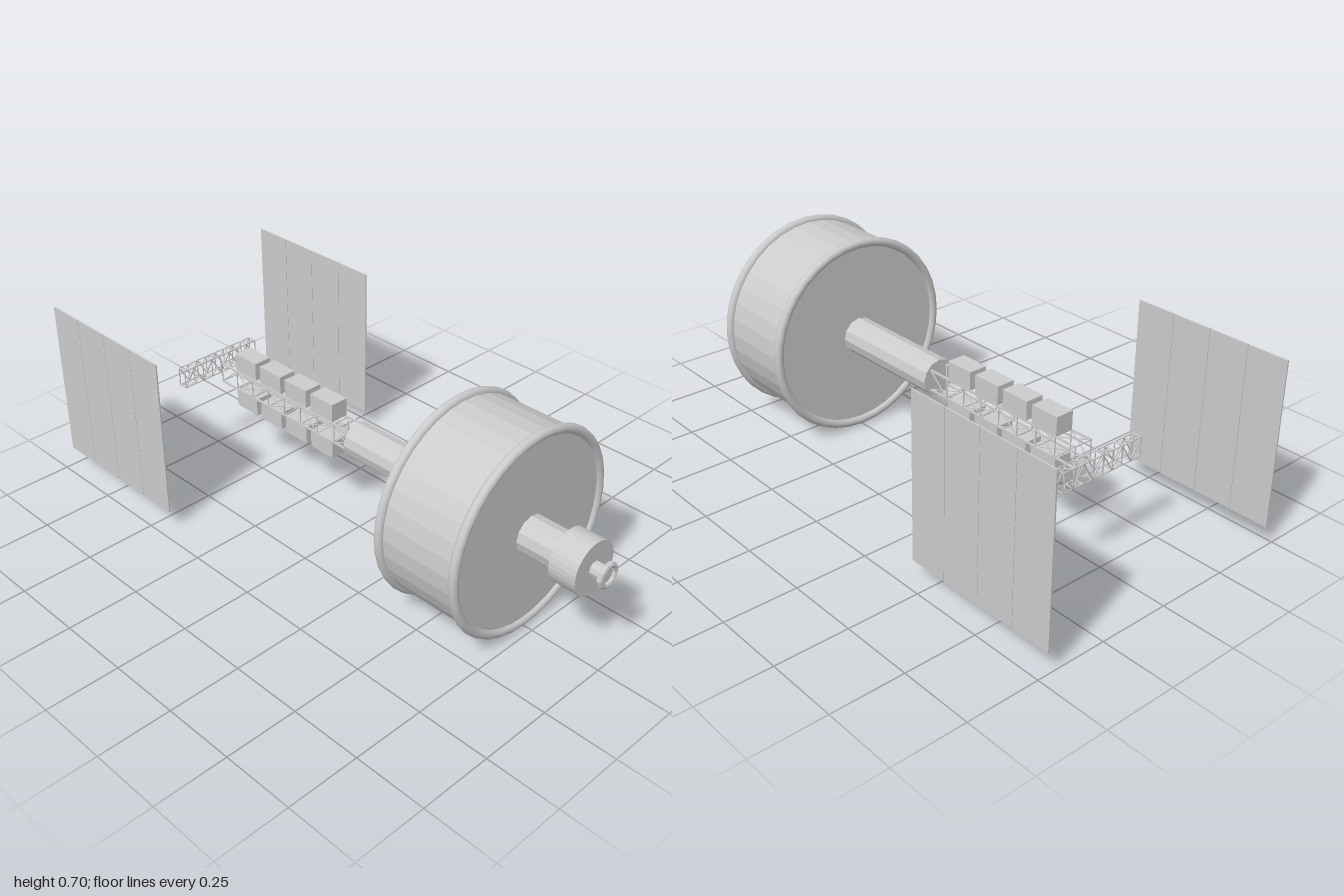
import * as THREE from 'three';

const AXIS_Y = 0.35;
const flat = new THREE.MeshStandardMaterial({ color: 0xcccccc, flatShading: true });
const smooth = new THREE.MeshStandardMaterial({ color: 0xcccccc });

export function createModel() {
  const model = new THREE.Group();
  const station = new THREE.Group();
  station.name = 'station';
  station.position.y = AXIS_Y;
  model.add(station);

  const add = (name, geometry, material = flat, parent = station) => {
    const mesh = new THREE.Mesh(geometry, material);
    mesh.name = name;
    parent.add(mesh);
    return mesh;
  };
  // Cylinder lying along x between two positions
  const tube = (name, x0, x1, r, sides, material) => {
    const g = new THREE.CylinderGeometry(r, r, x1 - x0, sides);
    g.rotateZ(-Math.PI / 2).translate((x0 + x1) / 2, 0, 0);
    return add(name, g, material);
  };
  // Ring around the x axis
  const ring = (name, x, R, r, tubeSides, sides, material) => {
    const g = new THREE.TorusGeometry(R, r, tubeSides, sides);
    g.rotateY(Math.PI / 2).translate(x, 0, 0);
    return add(name, g, material);
  };
  // Square rod between two points
  const rod = (name, a, b, t, parent) => {
    const from = new THREE.Vector3(...a), to = new THREE.Vector3(...b);
    const mesh = add(name, new THREE.BoxGeometry(t, t, from.distanceTo(to)), flat, parent);
    mesh.position.copy(from).add(to).multiplyScalar(0.5);
    mesh.lookAt(to);
  };
  // Lattice girder along x: four rails, square frames and zigzag braces
  const girder = (name, length, hy, hz, bays, rail, brace) => {
    const group = new THREE.Group();
    group.name = name;
    const corners = [[hy, hz], [hy, -hz], [-hy, -hz], [-hy, hz]];
    const step = length / bays;
    corners.forEach((c, k) => {
      const d = corners[(k + 1) % 4];
      rod('rail', [-length / 2, ...c], [length / 2, ...c], rail, group);
      for (let i = 0; i <= bays; i++) {
        const x = -length / 2 + i * step;
        rod('frameBar', [x, ...c], [x, ...d], brace, group);
        if (i < bays) {
          const [p, q] = i % 2 ? [d, c] : [c, d];
          rod('brace', [x, ...p], [x + step, ...q], brace, group);
        }
      }
    });
    station.add(group);
    return group;
  };

  // Pressurised core and habitat drum with rolled rims
  tube('coreModule', -0.01, 0.86, 0.063, 12);
  tube('habitatDrum', 0.416, 0.712, 0.333, 36);
  for (const x of [0.419, 0.709]) ring('drumRim', x, 0.333, 0.016, 10, 36, smooth);

  // Docking node and port
  tube('dockingNode', 0.85, 0.945, 0.089, 32);
  tube('dockingNeck', 0.94, 0.99, 0.025, 10);
  ring('dockingRing', 0.99, 0.035, 0.01, 8, 10, flat);

  // Main truss behind the core, short cross truss at its far end
  girder('mainTruss', 0.65, 0.035, 0.033, 8, 0.006, 0.003).position.x = -0.33;
  const cross = girder('crossTruss', 0.32, 0.033, 0.016, 8, 0.003, 0.003);
  cross.position.x = -0.72;
  cross.rotation.y = Math.PI / 2;

  // Cargo boxes above and below the main truss
  for (let i = 0; i < 4; i++) {
    for (const side of [1, -1]) {
      add('cargoBox', new THREE.BoxGeometry(0.104, 0.064, 0.066))
        .position.set(-0.527 + i * 0.1265, side * 0.07, -0.002);
    }
  }

  // Solar arrays, each of four narrow strips
  for (const side of [1, -1]) {
    const array = new THREE.Group();
    array.name = side > 0 ? 'frontSolarArray' : 'rearSolarArray';
    array.position.set(-0.718, 0.003, side * 0.4625);
    for (let i = 0; i < 4; i++) {
      add('solarStrip', new THREE.BoxGeometry(0.1395, 0.565, 0.005), flat, array)
        .position.x = (i - 1.5) * 0.141;
    }
    station.add(array);
  }

  return model;
}
